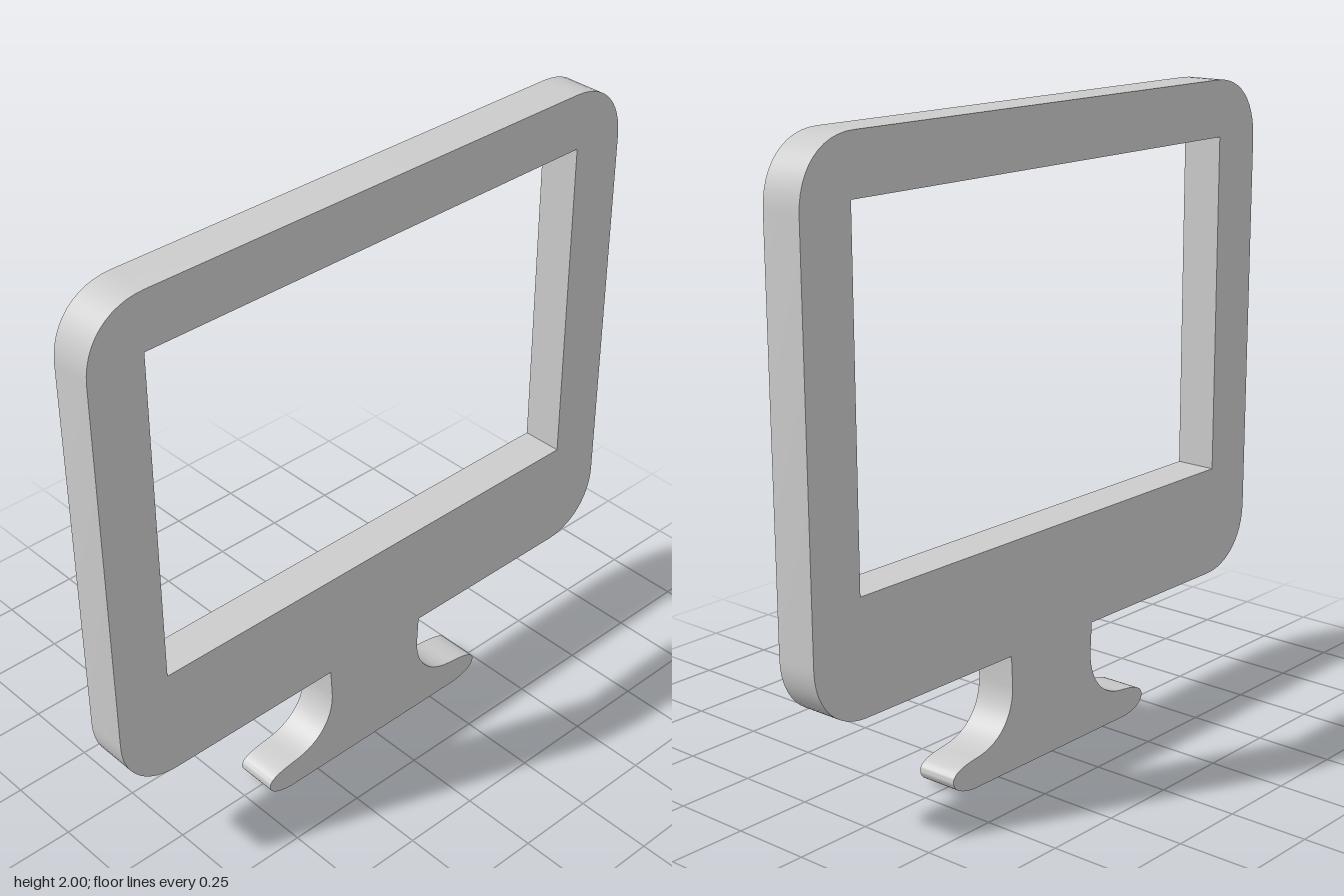
import * as THREE from 'three';
import { toCreasedNormals } from 'three/addons/utils/BufferGeometryUtils.js';

const DEPTH = 0.135;

// Left half of the silhouette, from the bottom centre up to the top centre
function halfOutline() {
  const path = new THREE.Path();
  path.moveTo(0, 0);
  // foot with a rounded tip
  path.lineTo(0.36, 0);
  path.bezierCurveTo(0.42, 0.005, 0.45, 0.025, 0.45, 0.05);
  path.bezierCurveTo(0.45, 0.08, 0.4, 0.09, 0.335, 0.097);
  // flared neck
  path.bezierCurveTo(0.24, 0.11, 0.185, 0.18, 0.185, 0.27);
  path.lineTo(0.19, 0.37);
  // screen frame with rounded corners
  path.lineTo(0.8, 0.37);
  path.bezierCurveTo(0.91, 0.37, 0.995, 0.45, 0.995, 0.57);
  path.lineTo(0.998, 1.8);
  path.bezierCurveTo(0.998, 1.92, 0.92, 2, 0.8, 2);
  path.lineTo(0, 2);
  return path.getPoints(12);
}

export function createModel() {
  const group = new THREE.Group();

  // Mirror the half outline to close the silhouette
  const half = halfOutline();
  const mirrored = half.slice(1, -1).reverse().map((p) => new THREE.Vector2(-p.x, p.y));
  const shape = new THREE.Shape([...half, ...mirrored]);

  // Screen opening
  const [w, bottom, top] = [0.814, 0.73, 1.82];
  shape.holes.push(new THREE.Path([
    new THREE.Vector2(-w, bottom), new THREE.Vector2(-w, top),
    new THREE.Vector2(w, top), new THREE.Vector2(w, bottom),
  ]));

  const geometry = new THREE.ExtrudeGeometry(shape, { depth: DEPTH, bevelEnabled: false });
  geometry.translate(0, 0, -DEPTH / 2);

  const monitor = new THREE.Mesh(
    toCreasedNormals(geometry, 0.6),
    new THREE.MeshStandardMaterial({ color: 0xcccccc }),
  );
  monitor.name = 'monitorFrameAndStand';
  group.add(monitor);
  return group;
}
